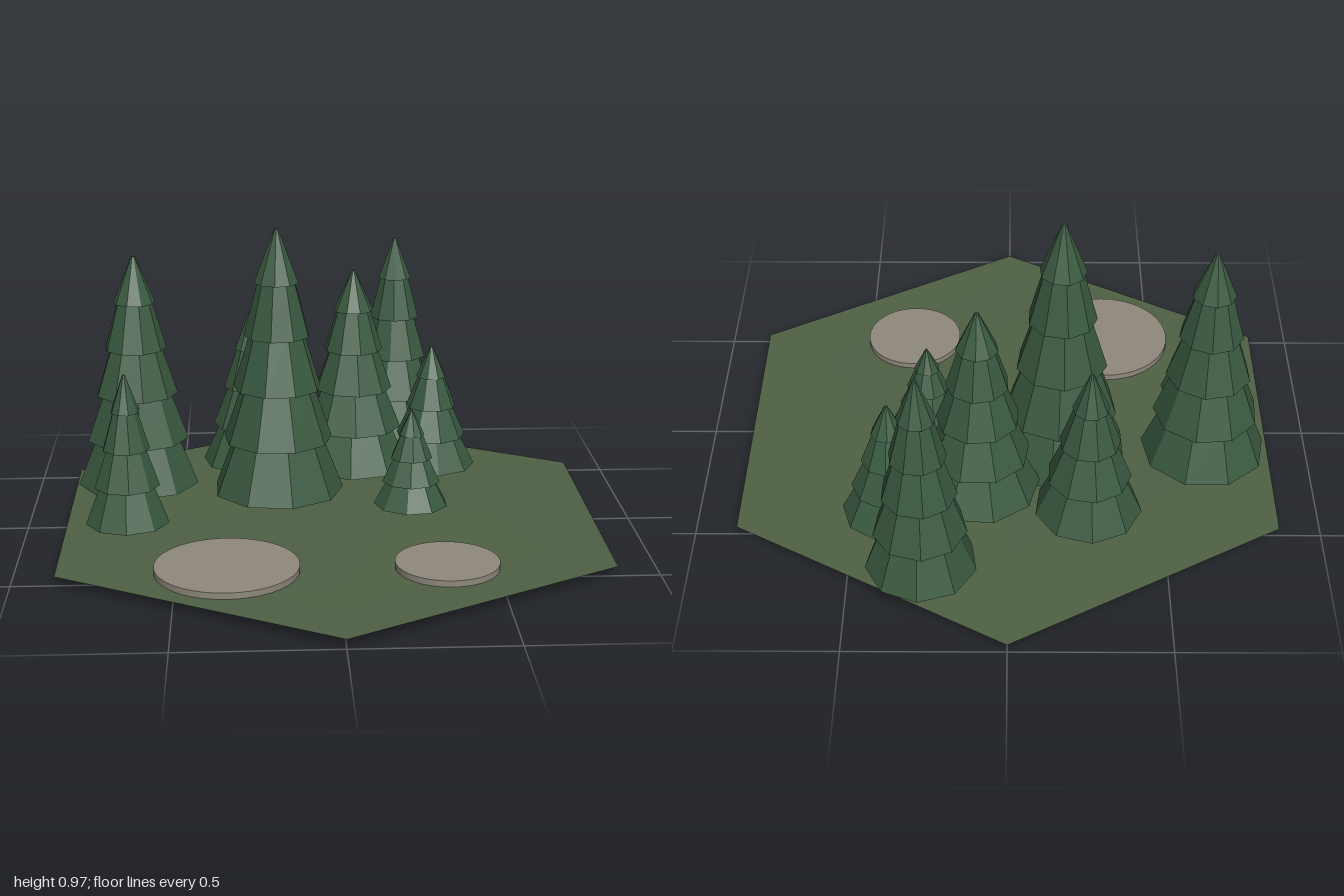
import * as THREE from 'three';

const mat = (color, extra = {}) =>
  new THREE.MeshStandardMaterial({ color, ...extra });
const needles = mat(0x3a5a40, { flatShading: true });
const bark = mat(0x5a4033, { flatShading: true });
const grass = mat(0x4f6144, { side: THREE.DoubleSide });
const stone = mat(0x8f897d);

const GROUND = 0.03;
const SIDES = 9;

function add(parent, name, geometry, material, x = 0, y = 0, z = 0) {
  const mesh = new THREE.Mesh(geometry, material);
  mesh.name = name;
  mesh.position.set(x, y, z);
  parent.add(mesh);
  return mesh;
}

// Hexagonal sheet of grass with a very slight ripple
function makeGround() {
  const geo = new THREE.RingGeometry(0, 1, 6, 8, Math.PI / 2);
  geo.rotateX(-Math.PI / 2);
  const p = geo.attributes.position;
  for (let i = 0; i < p.count; i++) {
    p.setY(i, GROUND + 0.002 * Math.sin(p.getX(i) * 5) * Math.cos(p.getZ(i) * 4));
  }
  geo.computeVertexNormals();
  return geo;
}

// Conifer: tapered trunk and stacked, overlapping skirts of branches
function makeTree(x, z, radius, base, top, tiers, turn) {
  const tree = new THREE.Group();
  tree.name = 'tree';
  tree.position.set(x, 0, z);

  const foot = 0.045;
  const trunkHeight = base + 0.04 - foot;
  add(tree, 'trunk',
    new THREE.CylinderGeometry(radius * 0.12, radius * 0.15, trunkHeight, 7),
    bark, 0, foot + trunkHeight / 2);

  const step = (top - base) / tiers;
  const lowRadius = (i) => radius * (1 - 0.66 * i / (tiers - 1));
  for (let i = 0; i < tiers; i++) {
    const last = i === tiers - 1;
    const overlap = last ? 0 : step * 0.12;
    const height = step + overlap;
    const low = lowRadius(i);
    const high = last ? radius * 0.03 : lowRadius(i + 1) * 0.78;
    const skirt = add(tree, 'branchTier',
      new THREE.CylinderGeometry(high, low, height, SIDES),
      needles, 0, base + i * step + height / 2);
    skirt.rotation.y = turn + i * 0.1;
  }
  return tree;
}

export function createModel() {
  const model = new THREE.Group();
  model.name = 'forestTile';

  add(model, 'ground', makeGround(), grass);

  // Flat round stones set through the ground
  for (const [x, z, r] of [[-0.34, 0.475, 0.225], [0.34, 0.475, 0.163]]) {
    add(model, 'stoneDisc', new THREE.CylinderGeometry(r, r, 0.05, 40), stone, x, 0.025, z);
  }

  // x, z, skirt radius, skirt base, tip height, tiers
  const trees = [
    [-0.64, -0.18, 0.204, 0.1, 0.875, 5],
    [-0.17, -0.155, 0.22, 0.074, 0.967, 5],
    [-0.255, -0.45, 0.172, 0.08, 0.62, 4],
    [0.095, -0.355, 0.198, 0.095, 0.78, 5],
    [0.375, -0.44, 0.155, 0.06, 0.485, 4],
    [0.265, -0.72, 0.174, 0.098, 0.815, 5],
    [0.27, -0.025, 0.124, 0.06, 0.38, 4],
    [-0.66, 0.145, 0.136, 0.075, 0.565, 4],
  ];
  trees.forEach((t, i) => model.add(makeTree(...t, i * 0.9)));

  return model;
}
